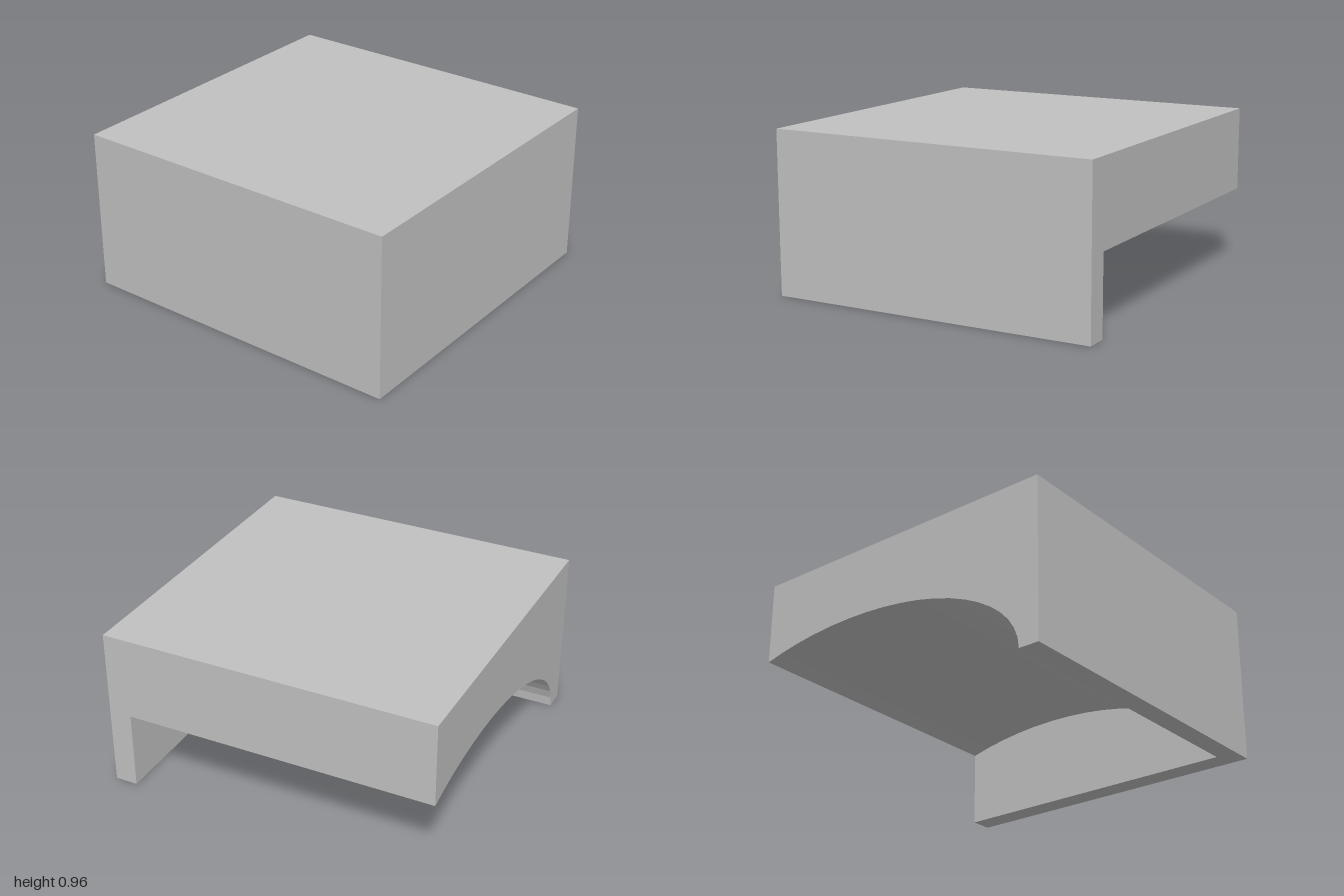
import * as THREE from 'three';

const HALF_W = 0.985, HEIGHT = 0.965, WALL_Z = 0.865;

export function createModel() {
  const group = new THREE.Group();
  group.name = 'vaultedBlock';
  const grey = new THREE.MeshStandardMaterial({ color: 0xc0c0c0 });
  grey.name = 'plain grey';

  // Vaulted body: side wall on -x, elliptical hollow underneath, open towards +x and the back
  const cx = 0.35, a = 1.21, b = 0.55, step = Math.PI / 28;
  const end = Math.PI - Math.acos((HALF_W - cx) / a);
  const shape = new THREE.Shape();
  shape.moveTo(-HALF_W, 0);
  for (let t = 0; t < end - 0.02; t += step) {
    shape.lineTo(cx - a * Math.cos(t), b * Math.sin(t));
  }
  shape.lineTo(HALF_W, b * Math.sin(end));
  shape.lineTo(HALF_W, HEIGHT);
  shape.lineTo(-HALF_W, HEIGHT);
  shape.closePath();
  const bodyGeometry = new THREE.ExtrudeGeometry(shape, { depth: WALL_Z + 1, bevelEnabled: false });
  bodyGeometry.translate(0, 0, -1);
  const body = new THREE.Mesh(bodyGeometry, grey);
  body.name = 'vaultedBody';

  // Solid front wall closing the hollow
  const depth = 1 - WALL_Z;
  const wall = new THREE.Mesh(new THREE.BoxGeometry(HALF_W * 2, HEIGHT, depth), grey);
  wall.position.set(0, HEIGHT / 2, WALL_Z + depth / 2);
  wall.name = 'frontWall';

  group.add(body, wall);
  return group;
}
